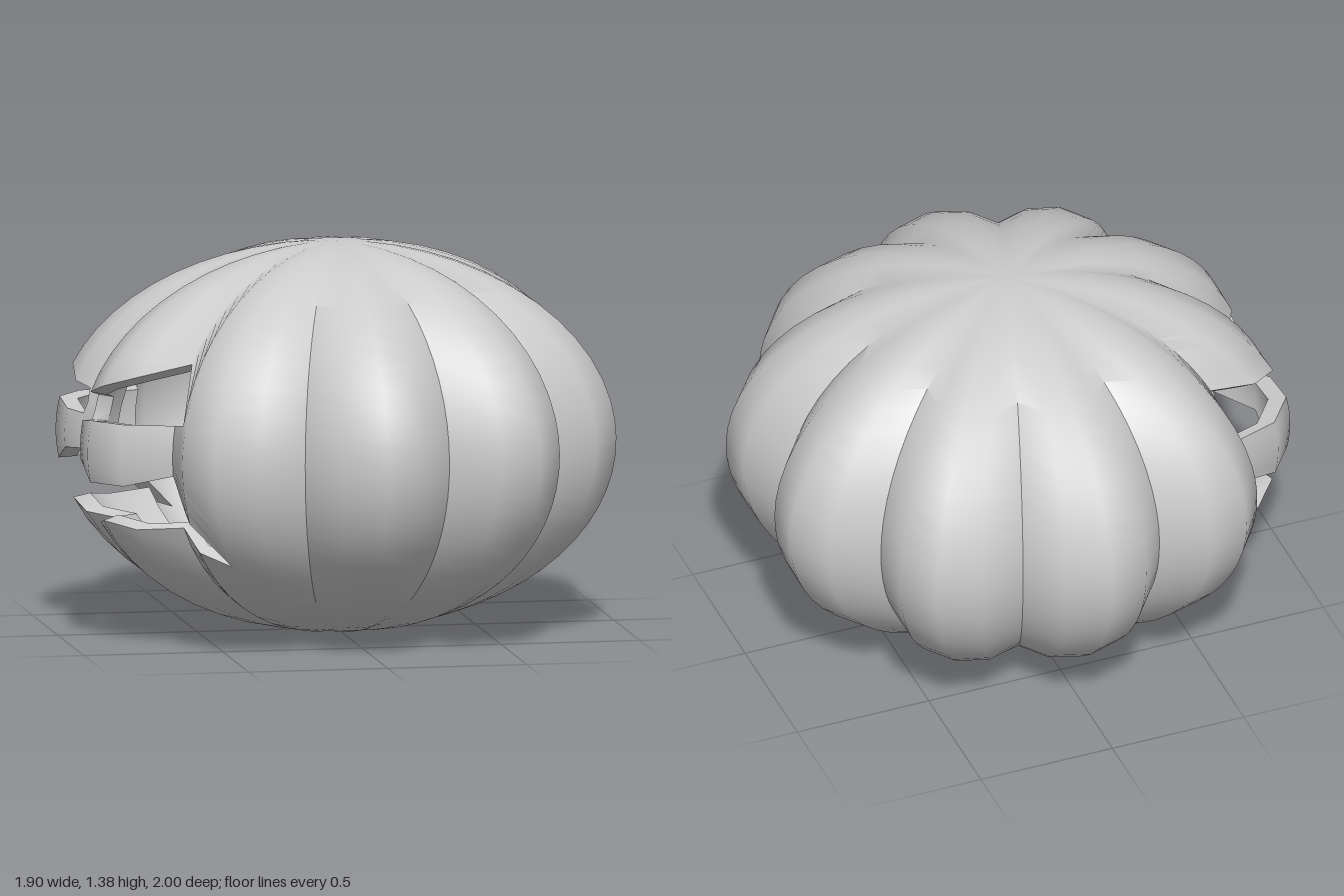
import * as THREE from 'three';
import { toCreasedNormals } from 'three/addons/utils/BufferGeometryUtils.js';

const MID = 0.6925;                       // half the height
const WALL = 0.935;                       // inner skin is a scaled copy of the outer
const LOBE = [0.84, 0.96, 1, 0.96];       // radii across one of the ten lobes

// Edges of the openings: [degrees away from the middle of the face, height]
const mouthLow = [[0, 0.41], [9, 0.42], [18, 0.45], [27, 0.43], [36, 0.44], [45, 0.37], [54, 0.33], [180, 0.33]];
const mouthTop = [[0, 0.66], [9, 0.65], [18, 0.59], [27, 0.59], [36, 0.63], [45, 0.48], [54, 0.33], [180, 0.33]];
const eyeLow = [[0, 0.82], [4.5, 0.82], [5, 0.78], [18, 0.81], [36, 0.81], [43, 0.83], [180, 0.83]];
const eyeTop = [[0, 0.82], [4.5, 0.82], [5, 0.87], [18, 0.93], [36, 1.02], [43, 0.83], [180, 0.83]];

function heightAt(edge, deg) {
  const a = Math.abs(deg);
  for (let i = 1; i < edge.length; i++) {
    const [a0, y0] = edge[i - 1], [a1, y1] = edge[i];
    if (a <= a1) return y0 + (y1 - y0) * (a - a0) / (a1 - a0);
  }
  return edge[edge.length - 1][1];
}

// Ribbed outline at the widest level, straight between every 9 degrees
function outline(deg) {
  const corner = (k) => {
    const r = LOBE[((k % 4) + 4) % 4], t = Math.PI + k * Math.PI / 20;
    return new THREE.Vector2(r * Math.cos(t), r * Math.sin(t));
  };
  const k = Math.floor(deg / 9);
  return corner(k).lerp(corner(k + 1), deg / 9 - k);
}

const toPhi = (y) => Math.acos(THREE.MathUtils.clamp(1 - y / MID, -1, 1));

// Point on the skin; phi runs from the bottom pole to the top pole
function skin(deg, phi, scale) {
  const p = outline(deg).multiplyScalar(Math.sin(phi) * scale);
  return new THREE.Vector3(p.x, MID - MID * Math.cos(phi) * scale, p.y);
}

function carvedShell() {
  const columns = [-43, -5, -4.5, 4.5, 5, 43];
  for (let d = -180; d <= 180; d += 9) columns.push(d);
  columns.sort((a, b) => a - b);

  const pos = [];
  const tri = (a, b, c) => {
    if (a.distanceTo(b) < 1e-5 || b.distanceTo(c) < 1e-5 || c.distanceTo(a) < 1e-5) return;
    for (const v of [a, b, c]) pos.push(v.x, v.y, v.z);
  };
  const quad = (a, b, c, d) => { tri(a, b, c); tri(a, c, d); };

  // Three bands: below the mouth, between mouth and eyes, above the eyes
  const floor = [[0, 0], [180, 0]], roof = [[0, 2 * MID], [180, 2 * MID]];
  const bands = [[floor, mouthLow, 10], [mouthTop, eyeLow, 8], [eyeTop, roof, 12]];
  for (const [low, high, rows] of bands) {
    const point = (deg, j, scale) => {
      const p0 = toPhi(heightAt(low, deg)), p1 = toPhi(heightAt(high, deg));
      return skin(deg, p0 + (p1 - p0) * j / rows, scale);
    };
    for (let i = 0; i + 1 < columns.length; i++) {
      const l = columns[i], r = columns[i + 1];
      for (let j = 0; j < rows; j++) {
        quad(point(l, j, 1), point(l, j + 1, 1), point(r, j + 1, 1), point(r, j, 1));
        quad(point(l, j, WALL), point(r, j, WALL), point(r, j + 1, WALL), point(l, j + 1, WALL));
      }
    }
  }

  // Cut faces through the wall, only where an opening gapes
  for (const [low, high] of [[mouthLow, mouthTop], [eyeLow, eyeTop]]) {
    for (let i = 0; i + 1 < columns.length; i++) {
      const l = columns[i], r = columns[i + 1];
      const gap = (d) => heightAt(high, d) - heightAt(low, d);
      if (gap(l) + gap(r) < 1e-4) continue;
      const at = (edge, d, s) => skin(d, toPhi(heightAt(edge, d)), s);
      quad(at(low, l, 1), at(low, l, WALL), at(low, r, WALL), at(low, r, 1));
      quad(at(high, l, 1), at(high, r, 1), at(high, r, WALL), at(high, l, WALL));
    }
  }

  const geo = new THREE.BufferGeometry();
  geo.setAttribute('position', new THREE.Float32BufferAttribute(pos, 3));
  return toCreasedNormals(geo, 0.75);
}

export function createModel() {
  const group = new THREE.Group();
  group.name = 'carvedPumpkin';
  const shell = new THREE.Mesh(carvedShell(), new THREE.MeshStandardMaterial({ color: 0xcccccc }));
  shell.name = 'pumpkinShell';
  group.add(shell);
  return group;
}
